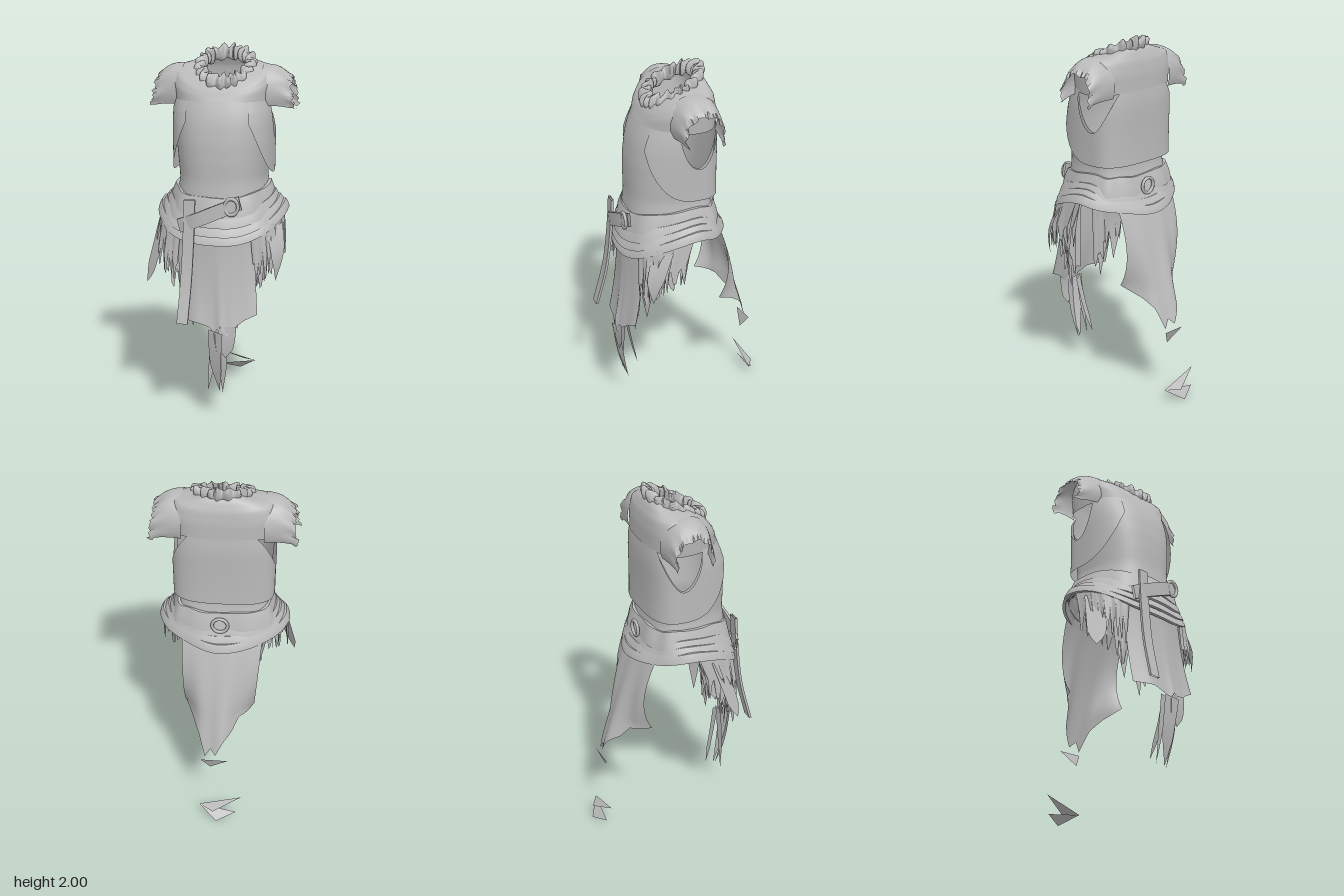
import * as THREE from 'three';
import { toCreasedNormals } from 'three/addons/utils/BufferGeometryUtils.js';

const { lerp, clamp } = THREE.MathUtils;
const cloth = new THREE.MeshStandardMaterial({ color: 0xbababa, side: THREE.DoubleSide });
cloth.name = 'grey cloth';

let seed = 7;
const rnd = () => (seed = (seed * 16807) % 2147483647) / 2147483647;
const spow = (v, p) => Math.sign(v) * Math.abs(v) ** p;

// Surface from a rule f(u, v) -> [x, y, z], u and v in 0..1
function sheet(nu, nv, f) {
  const pos = [], idx = [];
  for (let j = 0; j <= nv; j++) for (let i = 0; i <= nu; i++) pos.push(...f(i / nu, j / nv));
  for (let j = 0; j < nv; j++) for (let i = 0; i < nu; i++) {
    const a = j * (nu + 1) + i, b = a + nu + 1;
    idx.push(a, b, a + 1, a + 1, b, b + 1);
  }
  const g = new THREE.BufferGeometry();
  g.setAttribute('position', new THREE.Float32BufferAttribute(pos, 3));
  g.setIndex(idx);
  g.computeVertexNormals();
  return g;
}

// Piecewise linear lookup in rows of [key, a, b, ...]
function table(rows, k) {
  let i = 0;
  while (i < rows.length - 2 && k > rows[i + 1][0]) i++;
  const t = clamp((k - rows[i][0]) / (rows[i + 1][0] - rows[i][0]), 0, 1);
  return rows[i].map((v, n) => lerp(v, rows[i + 1][n], t));
}

// Horizontal outline with its own front and back depth; a lower power is squarer
const outline = (a, rx, zf, zb, backPower) => {
  const s = Math.sin(a), p = s > 0 ? 0.8 : backPower;
  return [rx * spow(Math.cos(a), p), (s > 0 ? zf : -zb) * spow(s, p)];
};
// Height round an outline: side, front and back values
const around = (a, ys, yf, yb) => lerp(ys, Math.sin(a) > 0 ? yf : yb, Math.abs(Math.sin(a)) ** 1.5);

// Torso: y, half width, front z, back z
const TORSO = [
  [1.08, 0.29, 0.335, -0.17], [1.2, 0.25, 0.315, -0.145], [1.3, 0.236, 0.305, -0.125],
  [1.4, 0.245, 0.306, -0.13], [1.5, 0.255, 0.302, -0.138], [1.6, 0.265, 0.287, -0.148],
  [1.66, 0.268, 0.27, -0.152], [1.72, 0.266, 0.245, -0.15],
];
function torso(a, y, off = 0) {
  const [, rx, zf, zb] = table(TORSO, y);
  const [x, z] = outline(a, rx + off, zf + off, zb - off, 0.68);
  return [x, y, z];
}
// Top of the torso wall, dipping at the armholes
function wallTop(a) {
  const [x, , z] = torso(a, 1.6);
  const d = Math.abs(z + 0.01) / 0.12;
  return 1.72 - (Math.abs(x) > 0.1 ? 0.22 * Math.max(0, 1 - d * d) : 0);
}

export function createModel() {
  const model = new THREE.Group();
  const add = (name, geo, parent = model) => {
    const m = new THREE.Mesh(geo, cloth);
    m.name = name;
    parent.add(m);
    return m;
  };
  const TAU = Math.PI * 2;

  // Tunic body
  add('tunicBody', sheet(160, 24, (u, v) => {
    const a = u * TAU, low = around(a, 1.17, 1.08, 1.12);
    return torso(a, lerp(wallTop(a), low, v));
  }));

  // Yoke from the neckline over the shoulders
  const YOKE = [ // t, half width, front z, back z, side y, front y, back y
    [0, 0.13, 0.185, -0.085, 1.91, 1.815, 1.95], [0.3, 0.19, 0.2, -0.115, 1.905, 1.8, 1.92],
    [0.55, 0.26, 0.22, -0.138, 1.89, 1.77, 1.87], [0.75, 0.28, 0.232, -0.148, 1.83, 1.745, 1.8],
    [1, 0.266, 0.245, -0.15, 1.7, 1.72, 1.72],
  ];
  add('shoulderYoke', sheet(120, 16, (u, v) => {
    const a = u * TAU, [, rx, zf, zb, ys, yf, yb] = table(YOKE, v);
    const [x, z] = outline(a, rx, zf, zb, 0.68);
    return [x, around(a, ys, yf, yb), z];
  }));

  // Vest over the back and sides, cut away in a curve at the front
  add('vest', sheet(140, 16, (u, v) => {
    const a = lerp(Math.PI * 0.68, Math.PI * 2.32, u);
    const [x, , z] = torso(a, 1.45);
    const k = clamp((Math.abs(x) - 0.145) / 0.105, 0, 1);
    const low = z > 0 ? lerp(1.62, 1.32, k ** 1.2) : 1.32;
    const y = lerp(Math.max(low, wallTop(a)), low, v);
    return torso(a, y, 0.003 + 0.032 * clamp((1.72 - y) / 0.4, 0, 1));
  }));

  // Torn cap sleeves, rounded off the shoulder
  for (const s of [1, -1]) {
    const n = 48, fray = Array.from({ length: n + 1 }, () => rnd());
    add(s > 0 ? 'leftSleeve' : 'rightSleeve', toCreasedNormals(sheet(n, 12, (u, v) => {
      const a = lerp(-2.05, 2.05, u), f = fray[Math.round(u * n)];
      const wave = 0.007 * Math.sin(a * 9) * v ** 3;
      const tear = v > 0.85 ? (f - 0.5) * 0.022 : 0;
      const x = 0.215 + 0.15 * v + 0.018 * (1 - Math.cos(a)) * v + tear;
      const y = lerp(1.757, 1.718, v ** 3) + (lerp(0.143, 0.108, v ** 3) + wave) * Math.cos(a) + tear * 0.5;
      return [s * x, y, lerp(0.01, 0, v) + (lerp(0.138, 0.102, v) + wave) * spow(Math.sin(a), 0.85)];
    }), 0.9));
  }

  // Crumpled ruff round the neck
  add('neckRuff', sheet(264, 14, (u, v) => {
    const a = u * TAU, c = v * TAU;
    const fold = Math.sin(a * 20 + 1.2 * Math.sin(a * 5)), fold2 = Math.sin(a * 13 + 1);
    const r = 0.024 * Math.cos(c) + 0.01 * fold;
    const z = 0.048 + (0.142 + r) * Math.sin(a);
    const y = 1.885 - 0.46 * (z - 0.048) + (0.036 + 0.008 * fold2) * Math.sin(c)
      + 0.012 * fold * Math.cos(c);
    return [0.01 + (0.137 + r) * Math.cos(a), y, z];
  }));

  // Belts and hip wraps: half width, front z, back z, side/front/back y, height, flare
  const band = (name, rx, zf, zb, ys, yf, yb, h, flare, ripple, backPower) => {
    const section = [[-0.01, -0.5], [0.008, -0.5], [0.012, 0], [0.008, 0.5], [-0.01, 0.5], [-0.01, -0.5]];
    add(name, toCreasedNormals(sheet(120, 5, (u, v) => {
      const a = u * TAU, [o, k] = section[Math.round(v * 5)];
      const off = o - flare * k + ripple * Math.sin(a * 9);
      const [x, z] = outline(a, rx + off, zf + off, zb - off, backPower);
      return [x, around(a, ys, yf, yb) + k * h + ripple * Math.sin(a * 7 + 2), z];
    }), 0.7));
  };
  band('waistSash', 0.265, 0.325, -0.155, 1.215, 1.17, 1.2, 0.1, 0.03, 0.004, 0.75);
  band('upperHipWrap', 0.29, 0.338, -0.178, 1.185, 1.1, 1.13, 0.07, 0.03, 0.003, 0.95);
  band('middleHipWrap', 0.315, 0.345, -0.2, 1.165, 1.045, 1.1, 0.055, 0.03, 0.003, 1.1);
  band('lowerHipWrap', 0.34, 0.352, -0.225, 1.145, 0.995, 1.07, 0.045, 0.02, 0.002, 1.25);

  // Flat strap along a path, with a boxy section
  const strap = (name, pts, width, side) => {
    const path = new THREE.CatmullRomCurve3(pts.map((p) => new THREE.Vector3(...p)));
    const box = [[-0.5, 0], [0.5, 0], [0.5, 0.014], [-0.5, 0.014], [-0.5, 0]];
    add(name, toCreasedNormals(sheet(4, 20, (u, v) => {
      const p = path.getPoint(v), [w, d] = box[Math.round(u * 4)];
      return [p.x + side[0] * w * width, p.y + side[1] * w * width, p.z + d];
    }), 0.6));
  };
  strap('hangingStrap', [[-0.128, 1.215, 0.345], [-0.132, 1.05, 0.355], [-0.14, 0.8, 0.385], [-0.152, 0.56, 0.445]], 0.06, [1, 0]);
  strap('buckleStrap', [[-0.19, 1.07, 0.335], [-0.1, 1.105, 0.36], [0.02, 1.155, 0.355], [0.14, 1.205, 0.33]], 0.075, [-0.25, 0.97]);

  // Buckles at the front and back
  const buckle = (name, r, x, y, z, sy) => {
    const m = add(name, new THREE.TorusGeometry(r, 0.009, 8, 28));
    m.position.set(x, y, z);
    m.scale.y = sy;
  };
  buckle('frontBuckle', 0.036, 0.095, 1.185, 0.355, 1.2);
  buckle('backRing', 0.042, 0.01, 1.19, -0.178, 1);

  // Front panel with a ragged hem
  const HEM = [[-1, 0.56], [-0.5, 0.55], [-0.2, 0.53], [-0.05, 0.5], [0.1, 0.54], [0.25, 0.48], [0.45, 0.53], [0.7, 0.57], [1, 0.6]];
  add('frontPanel', sheet(40, 16, (u, v) => {
    const k = u * 2 - 1, low = table(HEM, k)[1];
    const x = lerp(lerp(-0.21, 0.2, u), lerp(-0.19, 0.235, u), v);
    const z = lerp(0.345, 0.4, v * v) - lerp(0.055, 0.06, v) * k * k + 0.006 * Math.sin(k * 8) * v;
    return [x, lerp(1.04, low, v), z];
  }));

  // Back panel, flaring forward at the sides and narrowing to a torn point
  const TAIL = [[-1, 0.65], [-0.6, 0.63], [-0.45, 0.57], [-0.2, 0.52], [0, 0.44], [0.15, 0.47], [0.3, 0.42], [0.5, 0.54], [0.7, 0.6], [1, 0.66]];
  add('backPanel', sheet(40, 18, (u, v) => {
    const k = u * 2 - 1, low = table(TAIL, k)[1], y = lerp(1.1, low, v);
    const d = (1.1 - y) / 0.68;
    const z = -0.18 - 0.215 * d ** 0.9 + k * k * (0.03 + 0.14 * Math.min(1, d / 0.66) ** 3) + 0.01 * Math.sin(k * 9) * v;
    return [0.02 * d + k * lerp(0.22, 0.195, v), y, z];
  }));

  const rags = new THREE.Group();
  rags.name = 'rags';
  model.add(rags);

  // Hanging drape along the hip: pleated, with a jagged hem
  const drape = (name, s, from, to, top, hem, pleat) => {
    const n = 36, jag = Array.from({ length: n + 1 }, (_, i) => (i % 4 < 2 ? 0.05 : -0.05) * (0.4 + rnd()));
    add(name, toCreasedNormals(sheet(n, 10, (u, v) => {
      const c = Math.sin(u * Math.PI / 2), w = pleat * Math.sin(u * 26) * (0.3 + 0.7 * v);
      const low = lerp(hem[0], hem[1], u ** 0.8) + jag[Math.round(u * n)];
      const x = lerp(from[0], to[0], c) + w * 0.6 + 0.015 * v;
      const z = lerp(from[1], to[1], u * u) + w + 0.05 * v * u;
      return [s * x, lerp(lerp(top[0], top[1], u), low, v), z];
    }), 0.9), rags);
  };
  for (const s of [1, -1]) {
    drape('hipDrape', s, [0.19, 0.31], [0.335, 0.04], [1.02, 1.13], [0.8, 0.93], 0.008);
    drape('innerDrape', s, [0.04, 0.3], [0.29, 0.04], [1.06, 1.14], [0.55, 0.92], 0.016);
  }

  // Tapering rag: top corners, tip, and a notch part-way down
  const rag = (name, a, b, tip, bow = 0.02) => {
    const notch = 0.45 + rnd() * 0.35;
    add(name, sheet(3, 8, (u, v) => {
      const w = v < notch ? 1 - 0.35 * v : (1 - v) / (1 - notch) * (1 - 0.35 * notch);
      const c = 0.5 + (u - 0.5) * w;
      const bend = bow * Math.sin(v * Math.PI);
      return [0, 1, 2].map((n) => lerp(lerp(a[n], b[n], c), tip[n] + (b[n] - a[n]) * (c - 0.5), v) + (n === 1 ? 0 : bend * Math.sign(a[n])));
    }), rags);
  };
  rag('rightHipTail', [-0.27, 1.04, 0.24], [-0.34, 1.08, 0.12], [-0.385, 0.73, 0.265], 0);
  rag('leftHipTail', [0.27, 1.03, 0.26], [0.34, 1.07, 0.16], [0.32, 0.77, 0.27]);
  for (const s of [1, -1]) {
    rag('innerRag', [s * 0.08, 0.9, 0.3], [s * 0.17, 0.9, 0.27], [s * 0.12, 0.5, 0.31], 0.01);
    rag('innerRag', [s * 0.15, 0.95, 0.27], [s * 0.22, 0.95, 0.22], [s * 0.18, 0.6, 0.26], 0.01);
  }

  // Long shreds under the front hem
  rag('frontShred', [-0.02, 0.52, 0.4], [0.06, 0.5, 0.42], [0.03, 0.15, 0.335], 0.01);
  rag('frontShred', [0.01, 0.5, 0.41], [0.07, 0.52, 0.39], [0.045, 0.14, 0.33], 0.01);
  rag('frontShred', [0.0, 0.54, 0.35], [0.05, 0.54, 0.34], [-0.035, 0.15, 0.34], 0.005);
  rag('frontShred', [0.02, 0.54, 0.34], [0.06, 0.52, 0.33], [0.0, 0.2, 0.26], 0.005);
  rag('frontShred', [0.03, 0.53, 0.4], [0.13, 0.54, 0.39], [0.07, 0.36, 0.39], 0.005);

  // Loose scraps trailing at the back
  const scrap = (name, ...p) => {
    const g = new THREE.BufferGeometry();
    g.setAttribute('position', new THREE.Float32BufferAttribute(p.flat(), 3));
    g.computeVertexNormals();
    add(name, g);
  };
  scrap('backScrap', [-0.05, 0.4, -0.385], [0.1, 0.41, -0.395], [0.05, 0.33, -0.362]);
  scrap('floorScrap', [-0.13, 0.135, -0.395], [0.03, 0.062, -0.45], [0.11, 0.07, -0.4],
    [0.11, 0.07, -0.4], [-0.1, 0.035, -0.415], [0.01, 0, -0.462]);

  return model;
}
